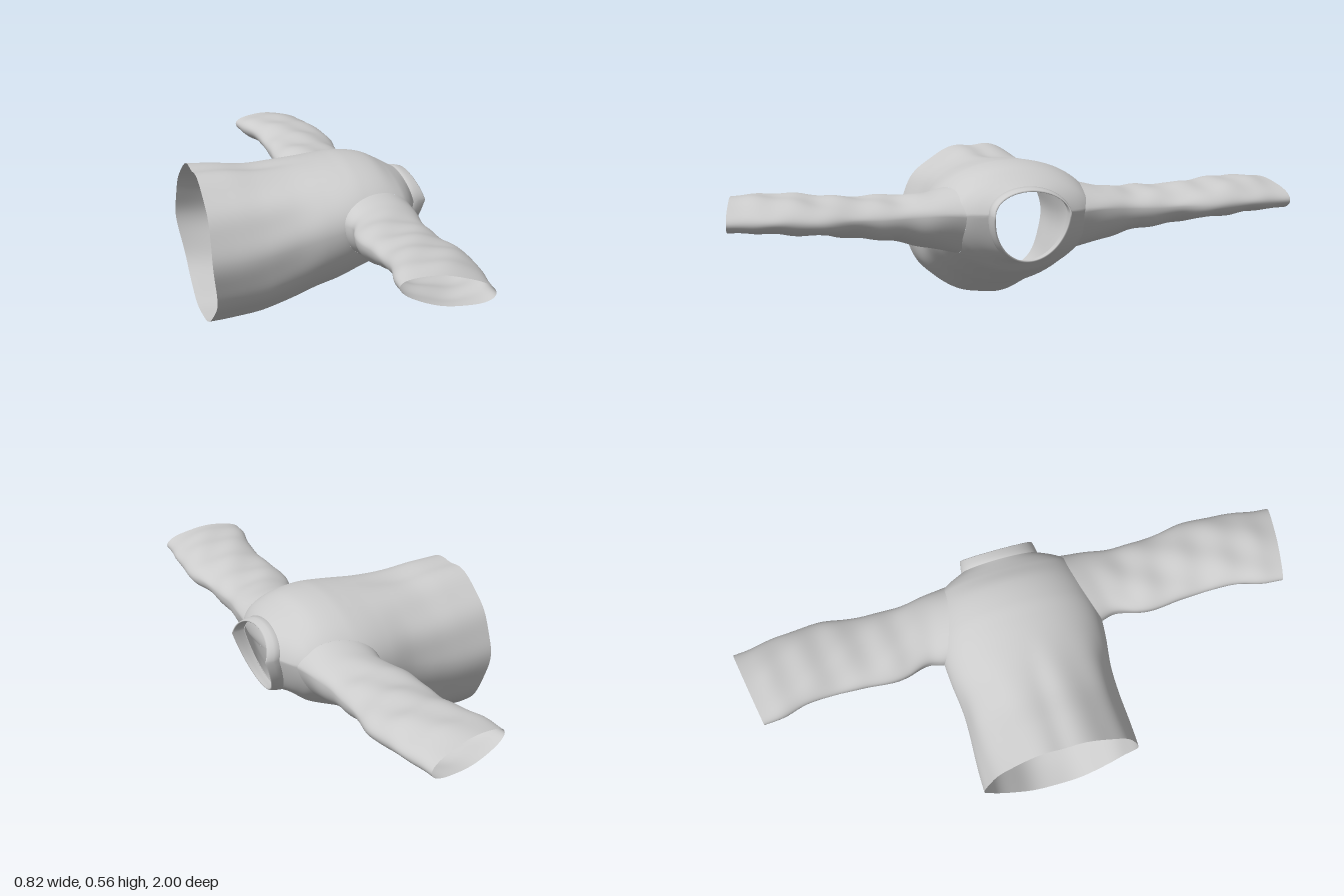
import * as THREE from 'three';

const { smoothstep, clamp, lerp } = THREE.MathUtils;
const TAU = Math.PI * 2;

// torso sections: x, bottom y, top y, widest y, half width
const TORSO = [
  [-0.41, 0.0, 0.555, 0.29, 0.278], [-0.3, 0.005, 0.55, 0.29, 0.276],
  [-0.2, 0.015, 0.541, 0.3, 0.274], [-0.1, 0.048, 0.542, 0.32, 0.276],
  [0.0, 0.087, 0.547, 0.35, 0.288], [0.08, 0.112, 0.553, 0.37, 0.292],
  [0.14, 0.138, 0.556, 0.38, 0.286], [0.22, 0.172, 0.546, 0.385, 0.272],
  [0.3, 0.208, 0.518, 0.39, 0.243], [0.335, 0.222, 0.502, 0.395, 0.2],
  [0.365, 0.23, 0.485, 0.4, 0.137],
];

// sleeve sections: distance, back x, front x, bottom y, top y, widest y, tilt
const SLEEVE = [
  [0.25, 0.055, 0.33, 0.25, 0.475, 0.39, 0],
  [0.31, 0.065, 0.32, 0.268, 0.459, 0.395, 0],
  [0.4, 0.042, 0.306, 0.29, 0.45, 0.395, -0.03],
  [0.5, 0.036, 0.304, 0.31, 0.449, 0.395, -0.05],
  [0.6, 0.038, 0.316, 0.325, 0.452, 0.4, -0.06],
  [0.7, 0.045, 0.326, 0.338, 0.458, 0.4, -0.08],
  [0.82, 0.03, 0.32, 0.35, 0.465, 0.41, -0.1],
  [0.92, 0.01, 0.3, 0.355, 0.463, 0.41, -0.11],
  [1.0, 0.0, 0.294, 0.358, 0.457, 0.41, -0.11],
];

// smooth interpolation of a section table at key k
function sample(rows, k) {
  const n = rows.length - 1;
  let i = 0;
  while (i < n - 1 && k > rows[i + 1][0]) i++;
  const a = rows[i], b = rows[i + 1], h = b[0] - a[0], t = clamp((k - a[0]) / h, 0, 1);
  const slope = (j, c) => {
    const p = rows[Math.max(j - 1, 0)], q = rows[Math.min(j + 1, n)];
    return (q[c] - p[c]) / (q[0] - p[0]);
  };
  return a.map((v, c) => {
    const t2 = t * t, t3 = t2 * t;
    return v * (2 * t3 - 3 * t2 + 1) + b[c] * (3 * t2 - 2 * t3)
      + h * (slope(i, c) * (t3 - 2 * t2 + t) + slope(i + 1, c) * (t3 - t2));
  });
}

// half width of the torso at a point seen from the side
function torsoZ(x, y) {
  const [, lo, hi, mid, w] = sample(TORSO, x);
  const d = (y - mid) / (y > mid ? hi - mid : mid - lo);
  return w * Math.sqrt(Math.max(0, 1 - d * d));
}

// slants the neckline and curves the hem
function bendX(x, y) {
  const neck = smoothstep(x, 0.22, 0.365) * (y < 0.4 ? 0.27 * (y - 0.4) : 0.25 * (0.4 - y));
  const hem = (1 - smoothstep(x, -0.41, -0.15)) * 0.028 * (1 - smoothstep(y, 0.1, 0.32));
  return x + neck + hem;
}

// closed-loop grid: point(u index, angle) gives a vertex, keep(a, b, c) filters faces
function loft(name, nu, nv, point, flip = false, keep = () => true) {
  const pos = [], idx = [];
  for (let i = 0; i <= nu; i++)
    for (let j = 0; j < nv; j++) pos.push(...point(i, (j / nv) * TAU));
  const face = (a, b, c) => { if (keep(a, b, c)) idx.push(a, ...(flip ? [c, b] : [b, c])); };
  for (let i = 0; i < nu; i++)
    for (let j = 0; j < nv; j++) {
      const k = (j + 1) % nv, a = i * nv + j, b = a + nv, c = (i + 1) * nv + k, d = i * nv + k;
      face(a, b, c);
      face(a, c, d);
    }
  const g = new THREE.BufferGeometry();
  g.setAttribute('position', new THREE.Float32BufferAttribute(pos, 3));
  g.setIndex(idx);
  g.computeVertexNormals();
  const mesh = new THREE.Mesh(g, new THREE.MeshStandardMaterial({ color: 0xcccccc, side: THREE.DoubleSide }));
  mesh.name = name;
  return mesh;
}

// torso tube with the armholes cut out; vertices inside a hole are pushed to its rim
function makeTorso() {
  const [, hx0, hx1, hlo, hhi, hmid] = SLEEVE[0];
  const cx = (hx0 + hx1) / 2, rx = (hx1 - hx0) / 2;
  const inHole = [], nu = 110, nv = 128;
  const point = (i, a) => {
    let x = lerp(-0.41, 0.365, i / nu);
    const [, lo, hi, mid, w] = sample(TORSO, x);
    const s = Math.sin(a), c = Math.cos(a);
    let y = mid + (s > 0 ? hi - mid : mid - lo) * s, z = w * c;
    const dx = (x - cx) / rx, dy = (y - hmid) / (y > hmid ? hhi - hmid : hmid - hlo);
    const r = Math.hypot(dx, dy);
    inHole.push(r < 1);
    if (r < 1 && r > 1e-6) {
      x = cx + (x - cx) / r;
      y = hmid + (y - hmid) / r;
      z = Math.sign(c) * torsoZ(x, y);
    } else {
      // soft folds running along the body
      const f = 1 - smoothstep(x, -0.2, 0.05);
      const fold = 0.005 * f * Math.sin(7 * a + 5 * x) * Math.cos(3 * a - 9 * x);
      y = Math.max(0, y + fold * s);
      z += fold * c;
      y -= 0.008 * Math.max(0, s) * Math.exp(-((z / 0.04) ** 2)) * f;
    }
    return [bendX(x, y), y, z];
  };
  return loft('torso', nu, nv, point, false, (a, b, c) => !(inHole[a] && inHole[b] && inHole[c]));
}

// sleeve tube growing from the armhole rim to a slanted cuff
function makeSleeve(name, side) {
  const nu = 70, nv = 72;
  const point = (i, a) => {
    const u = i / nu;
    const [, x0, x1, lo, hi, mid, tilt] = sample(SLEEVE, 0.25 + 0.75 * u);
    const cx = (x0 + x1) / 2, c = Math.cos(a), s = Math.sin(a);
    let x = cx + ((x1 - x0) / 2) * c;
    let y = mid + (s > 0 ? hi - mid : mid - lo) * s + tilt * (x - cx);
    const root = torsoZ(x, y);
    const end = 0.998 - 0.17 * (x1 - x);
    const z = lerp(root, end, u);
    // creases around the elbow and forearm
    const f = smoothstep(u, 0.03, 0.25) * (1 - 0.6 * smoothstep(u, 0.85, 1));
    y += 0.006 * f * s * Math.sin(34 * z + 14 * x) * Math.cos(11 * z - 20 * x);
    x += 0.003 * f * c * Math.sin(30 * z);
    return [lerp(bendX(x, y), x, smoothstep(u, 0, 0.15)), y, side * z];
  };
  return loft(name, nu, nv, point, side > 0);
}

// collar band with an outer face, a rim and an inner face
function makeCollar() {
  const [, lo, hi, mid, w] = TORSO[TORSO.length - 1];
  // offset along x, offset outwards
  const profile = [[-0.004, -0.002], [-0.002, 0.005], [0.02, 0.003], [0.043, -0.002],
    [0.046, -0.005], [0.043, -0.008], [0.02, -0.005], [0, -0.004]];
  return loft('collar', profile.length - 1, 96, (i, a) => {
    const [dx, dr] = profile[i], s = Math.sin(a), c = Math.cos(a);
    const y = mid + ((s > 0 ? hi - mid : mid - lo) + dr) * s;
    return [bendX(0.365, y) + dx * (s > 0 ? 1 - 0.2 * s : 1 + 0.2 * s), y, (w + dr) * c];
  });
}

export function createModel() {
  const group = new THREE.Group();
  group.name = 'longSleeveShirt';
  group.add(makeTorso(), makeSleeve('leftSleeve', 1), makeSleeve('rightSleeve', -1), makeCollar());
  group.children[1].name = 'frontSleeve';
  group.children[2].name = 'backSleeve';
  return group;
}
